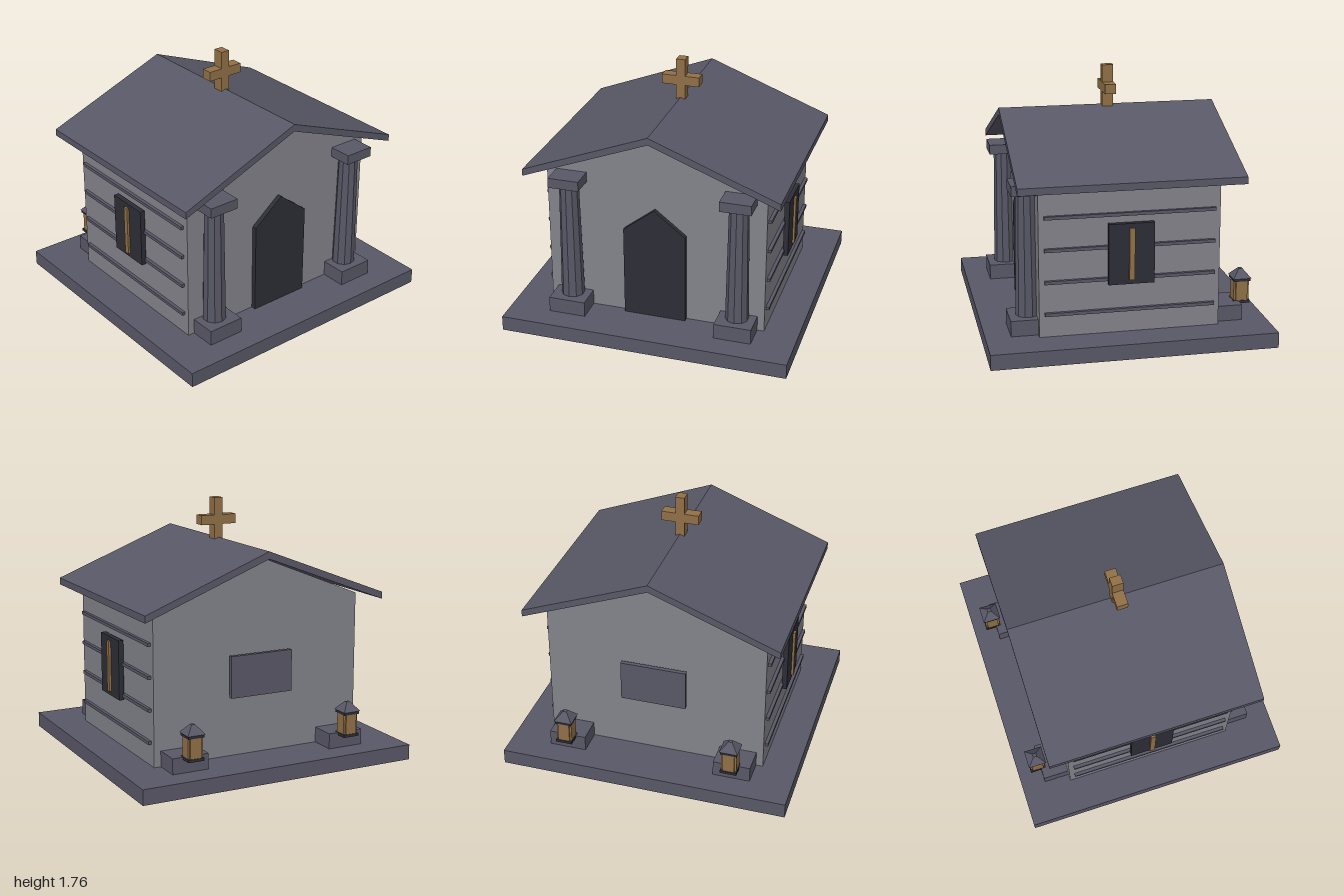
import * as THREE from 'three';

const material = (name, color) => {
  const m = new THREE.MeshStandardMaterial({ color });
  m.name = name;
  return m;
};

export function createModel() {
  const wall = material('wallStone', 0x82828a);
  const trim = material('slateStone', 0x585766);
  const dark = material('darkStone', 0x2d2d36);
  const bronze = material('bronze', 0x917046);

  const model = new THREE.Group();
  model.name = 'mausoleum';

  const add = (parent, name, geometry, mat, x = 0, y = 0, z = 0) => {
    const mesh = new THREE.Mesh(geometry, mat);
    mesh.name = name;
    mesh.position.set(x, y, z);
    parent.add(mesh);
    return mesh;
  };
  const group = (name, x = 0, y = 0, z = 0) => {
    const g = new THREE.Group();
    g.name = name;
    g.position.set(x, y, z);
    model.add(g);
    return g;
  };
  // Box given by its centre in x and z and its bottom and top heights
  const box = (parent, name, mat, w, y0, y1, d, x = 0, z = 0) =>
    add(parent, name, new THREE.BoxGeometry(w, y1 - y0, d), mat, x, (y0 + y1) / 2, z);
  // Outline in x and y, extruded between two depths
  const slab = (name, mat, points, z0, z1) => {
    const shape = new THREE.Shape(points.map(([x, y]) => new THREE.Vector2(x, y)));
    const geometry = new THREE.ExtrudeGeometry(shape, { depth: z1 - z0, bevelEnabled: false });
    return add(model, name, geometry, mat, 0, 0, z0);
  };
  // Faceted cylinder
  const prism = (top, bottom, height, sides, turn = 0) => {
    const g = new THREE.CylinderGeometry(top, bottom, height, sides).rotateY(turn).toNonIndexed();
    g.computeVertexNormals();
    return g;
  };

  // Plinth, gabled body, roof and pointed door
  box(model, 'plinth', trim, 2, 0, 0.105, 1.914);
  slab('walls', wall, [[-0.763, 0.1], [0.763, 0.1], [0.763, 1.13], [0, 1.438], [-0.763, 1.13]], -0.606, 0.606);
  slab('roof', trim, [[-0.88, 1.102], [0, 1.44], [0.88, 1.102], [0.88, 1.15], [0, 1.49], [-0.88, 1.15]], -0.752, 0.752);
  slab('door', dark, [[-0.217, 0.105], [0.217, 0.105], [0.217, 0.745], [0, 0.915], [-0.217, 0.745]], 0.59, 0.64);

  // Roof cross
  const cross = group('cross');
  box(cross, 'crossUpright', bronze, 0.062, 1.47, 1.765, 0.077);
  box(cross, 'crossBar', bronze, 0.262, 1.58, 1.646, 0.077);

  // Plaque behind the rear wall
  box(model, 'rearPlaque', trim, 0.455, 0.515, 0.8, 0.03, 0, -0.65);

  for (const side of [-1, 1]) {
    const label = side > 0 ? 'left' : 'right';

    // Front column with pedestal and cap
    const column = group(label + 'Column', side * 0.587, 0, 0.66);
    box(column, 'pedestal', trim, 0.257, 0.1, 0.212, 0.255);
    add(column, 'shaft', prism(0.066, 0.08, 0.84, 10), trim, 0, 0.63, 0);
    box(column, 'cap', trim, 0.214, 1.048, 1.117, 0.214);

    // Rear pedestal
    box(model, label + 'RearPedestal', trim, 0.257, 0.1, 0.212, 0.255, side * 0.587, -0.66);

    // Lantern on the rear pedestal
    const lantern = group(label + 'Lantern', side * 0.584, 0, -0.808);
    box(lantern, 'lanternBase', dark, 0.115, 0.195, 0.214, 0.115);
    box(lantern, 'lanternCore', dark, 0.078, 0.21, 0.352, 0.078);
    for (let i = 0; i < 4; i++) {
      const pane = new THREE.BoxGeometry(0.08, 0.14, 0.014).translate(0, 0, 0.046).rotateY(i * Math.PI / 2);
      add(lantern, 'lanternPane', pane, bronze, 0, 0.281, 0);
    }
    box(lantern, 'lanternRim', dark, 0.115, 0.35, 0.372, 0.115);
    add(lantern, 'lanternRoof', prism(0.018, 0.09, 0.06, 4, Math.PI / 4), trim, 0, 0.4, 0);

    // Side courses and barred window
    for (const y of [0.263, 0.482, 0.7, 0.918]) {
      box(model, label + 'WallCourse', trim, 0.035, y - 0.011, y + 0.011, 1.14, side * 0.768);
    }
    box(model, label + 'Window', dark, 0.035, 0.45, 0.862, 0.306, side * 0.793);
    box(model, label + 'WindowBar', bronze, 0.03, 0.482, 0.833, 0.036, side * 0.811);
  }

  return model;
}
